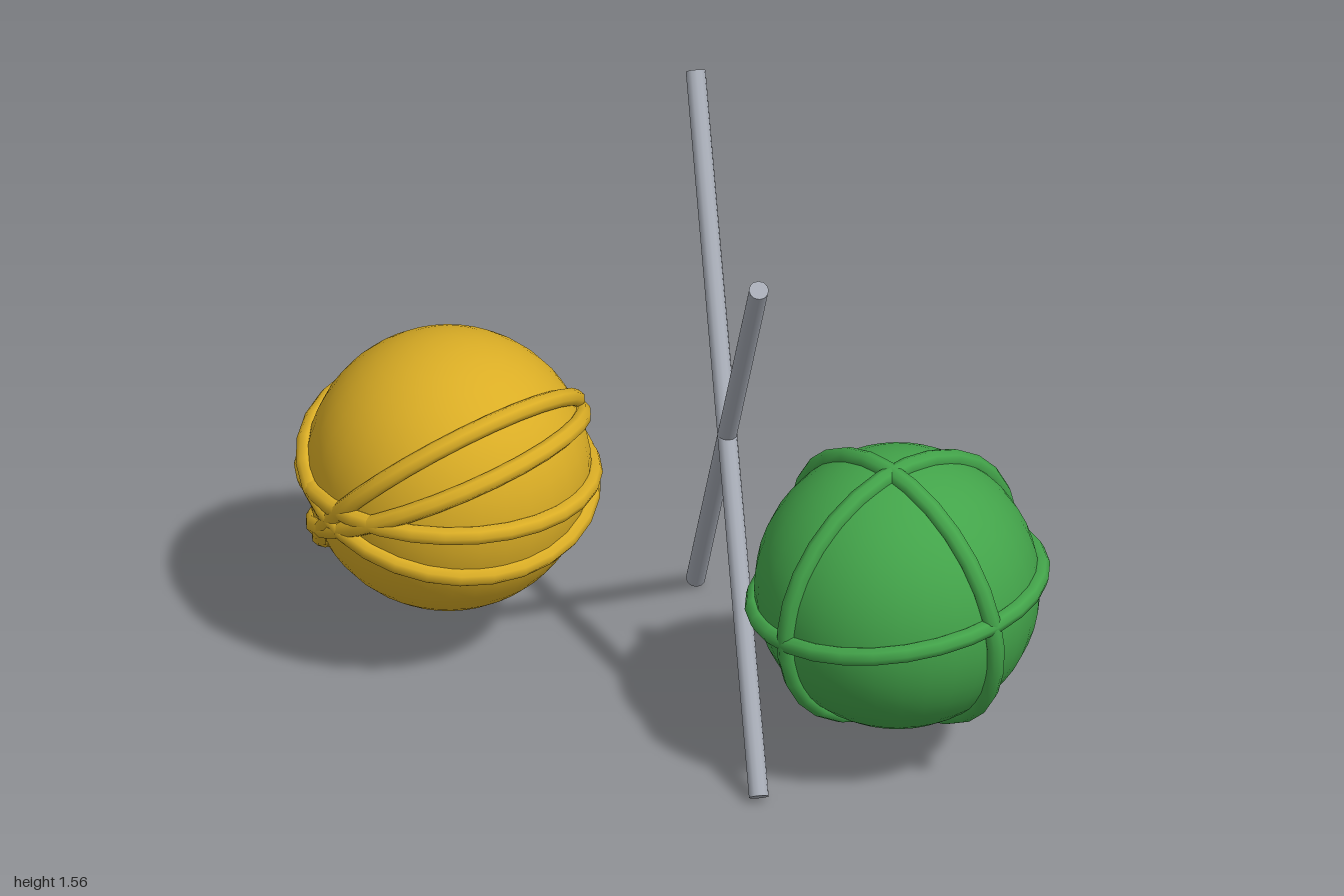
import * as THREE from 'three';

const material = (name, color) => {
  const m = new THREE.MeshStandardMaterial({ color });
  m.name = name;
  return m;
};

// Ball of yarn: a sphere wrapped by great-circle strands, each given by its plane normal
function yarnBall(name, mat, center, normals) {
  const ball = new THREE.Group();
  ball.name = name;
  ball.position.set(...center);

  const core = new THREE.Mesh(new THREE.SphereGeometry(0.375, 32, 24), mat);
  core.name = 'yarnCore';
  ball.add(core);

  const strandGeometry = new THREE.TorusGeometry(0.379, 0.025, 8, 28);
  const axis = new THREE.Vector3(0, 0, 1);
  normals.forEach((n, i) => {
    const strand = new THREE.Mesh(strandGeometry, mat);
    strand.name = `yarnStrand${i + 1}`;
    strand.quaternion.setFromUnitVectors(axis, new THREE.Vector3(...n).normalize());
    ball.add(strand);
  });
  return ball;
}

// Straight knitting needle between two points
function needle(name, mat, from, to) {
  const a = new THREE.Vector3(...from);
  const b = new THREE.Vector3(...to);
  const dir = b.clone().sub(a);
  const mesh = new THREE.Mesh(new THREE.CylinderGeometry(0.026, 0.026, dir.length(), 12), mat);
  mesh.name = name;
  mesh.position.copy(a).add(b).multiplyScalar(0.5);
  mesh.quaternion.setFromUnitVectors(new THREE.Vector3(0, 1, 0), dir.normalize());
  return mesh;
}

export function createModel() {
  const group = new THREE.Group();
  group.name = 'yarnAndNeedles';

  const green = material('green yarn', 0x43a44a);
  const gold = material('gold yarn', 0xdaad25);
  const steel = material('steel', 0xa6abb5);

  // Green ball: three strands nearly at right angles
  group.add(yarnBall('greenYarnBall', green, [0.293, 0.518, 0.59], [
    [0.08, -0.11, 1],
    [-0.1, 1, -0.1],
    [1, 0.14, -0.11],
  ]));

  // Gold ball: four strands fanned about the sideways axis
  group.add(yarnBall('goldYarnBall', gold, [-0.3, 0.52, -0.597], [
    [0.03, 1, -0.01],
    [-0.08, 1, -1.05],
    [-0.17, 1, -0.5],
    [-0.08, 1, 0.36],
  ]));

  // Crossed needles
  group.add(needle('needleRising', steel, [-0.138, 0.016, 0.57], [0.402, 1.54, -0.467]));
  group.add(needle('needleFalling', steel, [0.402, 0.016, -0.467], [-0.138, 1.54, 0.57]));

  return group;
}
